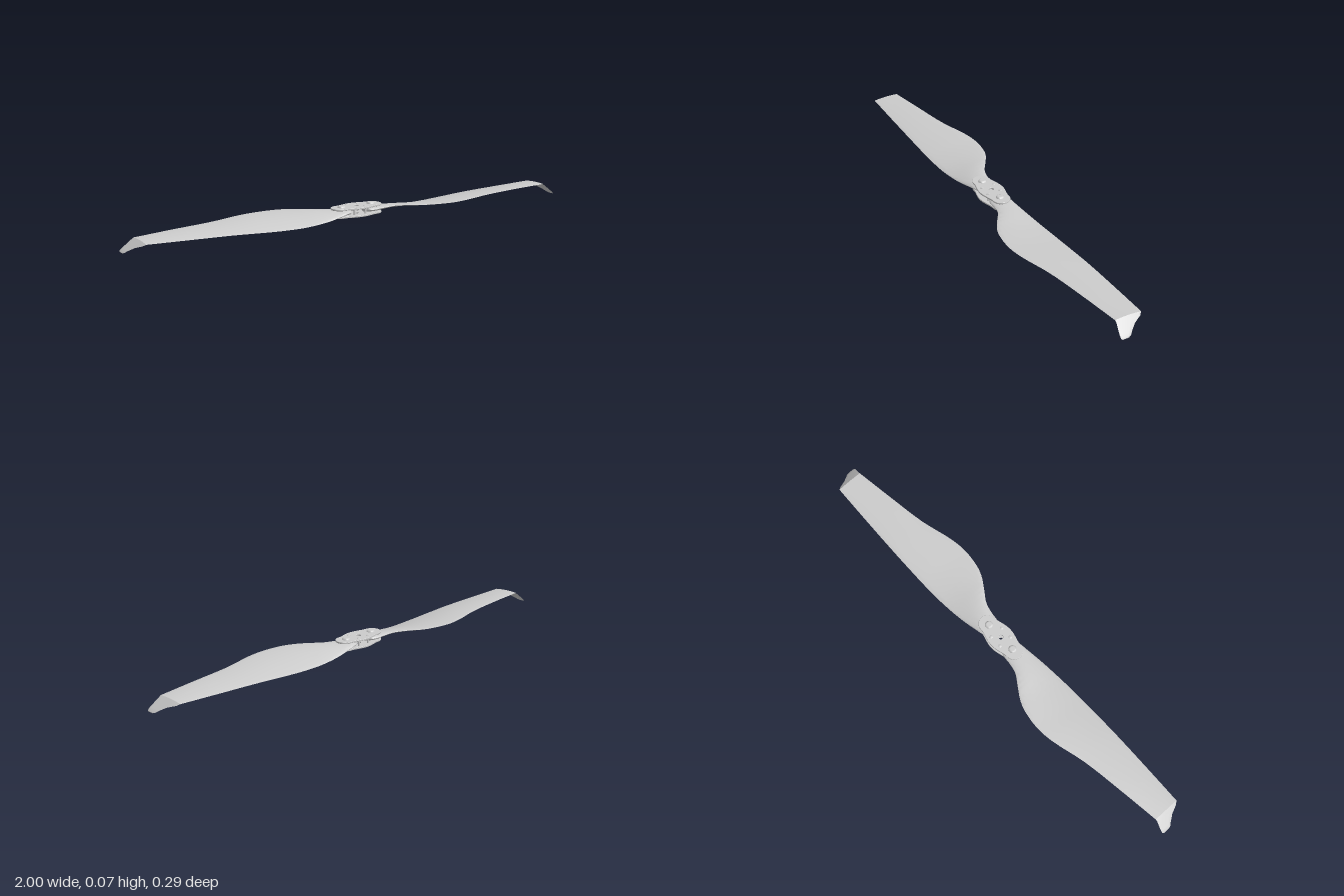
import * as THREE from 'three';
import { toCreasedNormals } from 'three/addons/utils/BufferGeometryUtils.js';

const material = new THREE.MeshStandardMaterial({ color: 0xcccccc, side: THREE.DoubleSide });

function add(parent, name, geometry, x = 0, y = 0, z = 0) {
  const mesh = new THREE.Mesh(geometry, material);
  mesh.name = name;
  mesh.position.set(x, y, z);
  parent.add(mesh);
  return mesh;
}

// Blade stations: x, back z, front z, back y, front y, thickness, camber
const stations = [
  [0.036, -0.02, 0.02, 0.044, 0.044, 0.022, 0],
  [0.045, -0.034, 0.034, 0.044, 0.044, 0.022, 0],
  [0.07, -0.043, 0.043, 0.043, 0.045, 0.022, 0],
  [0.1, -0.048, 0.046, 0.038, 0.048, 0.021, 0.001],
  [0.15, -0.056, 0.058, 0.03, 0.053, 0.016, 0.003],
  [0.2, -0.062, 0.09, 0.025, 0.056, 0.012, 0.005],
  [0.25, -0.066, 0.121, 0.022, 0.056, 0.01, 0.006],
  [0.3, -0.069, 0.138, 0.021, 0.056, 0.009, 0.006],
  [0.38, -0.071, 0.147, 0.023, 0.055, 0.008, 0.006],
  [0.46, -0.071, 0.138, 0.027, 0.055, 0.007, 0.006],
  [0.6, -0.069, 0.103, 0.035, 0.054, 0.006, 0.004],
  [0.78, -0.063, 0.077, 0.041, 0.053, 0.005, 0.003],
  [0.945, -0.056, 0.056, 0.046, 0.05, 0.004, 0.002],
];
// Down-swept tip, joined with a crisp bend
const tip = [
  [0.955, -0.045, 0.056, 0.039, 0.043, 0.003, 0.001],
  [0.97, -0.012, 0.06, 0.028, 0.03, 0.003, 0],
  [0.988, 0.012, 0.064, 0.014, 0.015, 0.003, 0],
  [0.997, 0.022, 0.064, 0.006, 0.007, 0.003, 0],
  [1.0, 0.032, 0.06, 0.003, 0.003, 0.002, 0],
];

// Smooth interpolation of the station table
function refine(rows, steps) {
  const out = [];
  for (let i = 0; i < rows.length - 1; i++) {
    const p = rows[Math.max(i - 1, 0)], a = rows[i], b = rows[i + 1];
    const n = rows[Math.min(i + 2, rows.length - 1)];
    for (let s = 0; s < steps; s++) {
      const t = s / steps, h = t * t * (3 - 2 * t);
      const d = b[0] - a[0];
      out.push(a.map((v, k) => {
        const m0 = (b[k] - p[k]) / (b[0] - p[0]) * d;
        const m1 = (n[k] - v) / (n[0] - a[0]) * d;
        return v * (1 - h) + b[k] * h + m0 * t * (1 - t) ** 2 - m1 * t * t * (1 - t);
      }));
    }
  }
  out.push(rows[rows.length - 1]);
  return out;
}

// Loft of lens-shaped sections
function bladeGeometry() {
  const rows = [...refine(stations, 5), ...tip];
  const ring = 32, positions = [], index = [];
  for (const [x, zb, zf, yb, yf, thick, camber] of rows) {
    for (let j = 0; j < ring; j++) {
      const a = (j / ring) * Math.PI * 2;
      const u = (1 - Math.cos(a)) / 2;
      positions.push(
        x,
        yb + (yf - yb) * u + camber * Math.sin(Math.PI * u) + (thick / 2) * Math.sin(a),
        zb + (zf - zb) * u
      );
    }
  }
  for (let i = 0; i < rows.length - 1; i++) {
    for (let j = 0; j < ring; j++) {
      const a = i * ring + j, b = i * ring + ((j + 1) % ring);
      index.push(a, b, a + ring, b, b + ring, a + ring);
    }
  }
  const last = (rows.length - 1) * ring;
  for (let j = 1; j < ring - 1; j++) {
    index.push(0, j + 1, j, last, last + j, last + j + 1);
  }
  const geometry = new THREE.BufferGeometry();
  geometry.setAttribute('position', new THREE.Float32BufferAttribute(positions, 3));
  geometry.setIndex(index);
  return toCreasedNormals(geometry, 0.5);
}

// Waisted hub plate with round ends, a centre bore and screw holes
function plateGeometry(height) {
  const shape = new THREE.Shape();
  shape.moveTo(0.03, -0.046);
  shape.bezierCurveTo(0.05, -0.042, 0.06, -0.036, 0.078, -0.036);
  shape.absarc(0.078, 0, 0.036, -Math.PI / 2, Math.PI / 2, false);
  shape.bezierCurveTo(0.06, 0.036, 0.05, 0.042, 0.03, 0.046);
  shape.quadraticCurveTo(0, 0.054, -0.03, 0.046);
  shape.bezierCurveTo(-0.05, 0.042, -0.06, 0.036, -0.078, 0.036);
  shape.absarc(-0.078, 0, 0.036, Math.PI / 2, Math.PI * 1.5, false);
  shape.bezierCurveTo(-0.06, -0.036, -0.05, -0.042, -0.03, -0.046);
  shape.quadraticCurveTo(0, -0.054, 0.03, -0.046);
  const bore = new THREE.Path();
  bore.absarc(0, 0, 0.011, 0, Math.PI * 2, true);
  shape.holes.push(bore);
  const b = 0.001;
  const geometry = new THREE.ExtrudeGeometry(shape, {
    depth: height - 2 * b, bevelEnabled: true, bevelSize: b, bevelThickness: b,
    bevelSegments: 1, curveSegments: 16,
  });
  geometry.translate(0, 0, b);
  return geometry.rotateX(-Math.PI / 2);
}

// Turned part from radius/height pairs
function turned(points) {
  const g = new THREE.LatheGeometry(points.map(([r, y]) => new THREE.Vector2(r, y)), 24);
  return toCreasedNormals(g, 0.6);
}

export function createModel() {
  const group = new THREE.Group();
  group.name = 'propeller';

  // Two blades, half a turn apart
  const blade = bladeGeometry();
  add(group, 'rightBlade', blade).rotation.y = Math.PI;
  add(group, 'leftBlade', blade);

  // Clamp plates above and below the blade roots
  add(group, 'topPlate', plateGeometry(0.007), 0, 0.056, 0);
  add(group, 'bottomPlate', plateGeometry(0.007), 0, 0.025, 0);

  // Pivot bolts with domed heads and nuts beneath
  const pivot = turned([
    [0, 0.017], [0.009, 0.017], [0.009, 0.026], [0.006, 0.026], [0.006, 0.062],
    [0.017, 0.062], [0.0165, 0.065], [0.014, 0.068], [0.009, 0.07], [0, 0.071],
  ]);
  // Small screws and spacers around the centre
  const screw = turned([
    [0, 0.023], [0.006, 0.023], [0.006, 0.026], [0.004, 0.026], [0.004, 0.062],
    [0.007, 0.062], [0.007, 0.064], [0.005, 0.0655], [0, 0.066],
  ]);
  for (const side of [-1, 1]) {
    add(group, 'pivotBolt', pivot, side * 0.07, 0, 0);
    for (const end of [-1, 1]) add(group, 'hubScrew', screw, side * 0.026, 0, end * 0.028);
  }
  return group;
}
